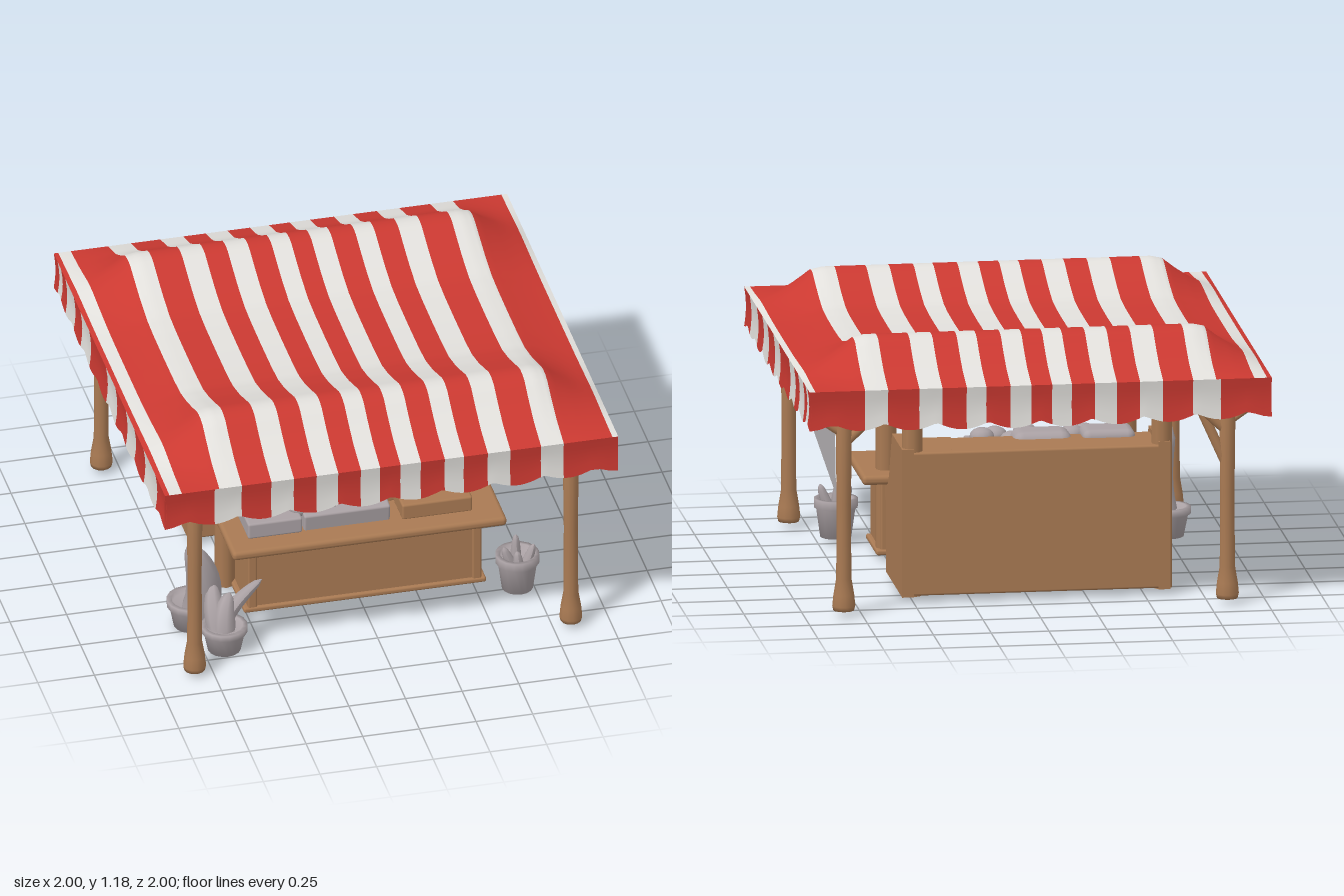
import * as THREE from 'three';
import { RoundedBoxGeometry } from 'three/addons/geometries/RoundedBoxGeometry.js';

const mat = (name, color, side = THREE.FrontSide) => {
  const m = new THREE.MeshStandardMaterial({ color, side });
  m.name = name;
  return m;
};

export function createModel() {
  const root = new THREE.Group();
  root.name = 'marketStall';
  const wood = mat('wood', 0xa97a53), red = mat('redCloth', 0xcb3931), white = mat('whiteCloth', 0xe2e0dc);
  const grey = mat('grey', 0xaaa1a4), lining = mat('liningGrey', 0x9d9b9d);
  const pale = mat('paleCloth', 0xc4c0c2, THREE.DoubleSide);

  const add = (name, geo, material, x = 0, y = 0, z = 0, parent = root) => {
    const m = new THREE.Mesh(geo, material);
    m.name = name;
    m.position.set(x, y, z);
    parent.add(m);
    return m;
  };
  // box given by its limits on each axis
  const box = (name, material, x0, x1, y0, y1, z0, z1, r = 0.01) =>
    add(name, new RoundedBoxGeometry(x1 - x0, y1 - y0, z1 - z0, 2, r), material,
      (x0 + x1) / 2, (y0 + y1) / 2, (z0 + z1) / 2);
  // straight round beam between two points
  const beam = (name, a, b, r = 0.02) => {
    const p = new THREE.Vector3(...a), q = new THREE.Vector3(...b), d = q.clone().sub(p);
    const m = add(name, new THREE.CylinderGeometry(r, r, d.length(), 10), wood);
    m.position.copy(p).add(q).multiplyScalar(0.5);
    m.quaternion.setFromUnitVectors(new THREE.Vector3(0, 1, 0), d.normalize());
  };
  const lathe = (pts, n = 16) => new THREE.LatheGeometry(pts.map(p => new THREE.Vector2(...p)), n);
  const lerpTable = (t, v) => {
    for (let i = 1; i < t.length; i++) {
      if (v <= t[i][0]) {
        const k = (v - t[i - 1][0]) / (t[i][0] - t[i - 1][0]);
        return t[i - 1][1] + k * (t[i][1] - t[i - 1][1]);
      }
    }
    return t[t.length - 1][1];
  };

  // ---- canopy: striped sheets, one material group per stripe ----
  const sheet = (edges, vs, f, flip = false) => {
    const sub = 6, us = [];
    for (let i = 0; i + 1 < edges.length; i++)
      for (let j = 0; j < sub; j++) us.push(edges[i] + (edges[i + 1] - edges[i]) * j / sub);
    us.push(edges[edges.length - 1]);
    const pos = [], idx = [], n = vs.length, g = new THREE.BufferGeometry();
    us.forEach(u => vs.forEach(v => pos.push(...f(u, v))));
    for (let i = 0; i + 1 < us.length; i++)
      for (let j = 0; j + 1 < n; j++) {
        const a = i * n + j, b = a + 1, c = a + n, d = c + 1;
        idx.push(...(flip ? [a, c, b, b, c, d] : [a, b, c, b, d, c]));
      }
    g.setAttribute('position', new THREE.Float32BufferAttribute(pos, 3));
    g.setIndex(idx);
    const per = sub * (n - 1) * 6;
    for (let i = 0; i + 1 < edges.length; i++) g.addGroup(i * per, per, i % 2);
    g.computeVertexNormals();
    return g;
  };
  const inner = [-0.66, -0.53, -0.43, -0.33, -0.235, -0.135, -0.05, 0.04,
    0.13, 0.235, 0.32, 0.425, 0.525, 0.66, 0.76];
  const roofStripes = [-1, -0.98, -0.925, -0.76, ...inner, 0.975, 1];
  const frontStripes = [-1, -0.78, ...inner, 1];
  const sideStripes = [-1, -0.83, -0.615, -0.45, -0.295, -0.11, 0.06, 0.36, 0.52, 0.64, 0.79, 0.87, 0.93, 1];
  const alongZ = [[0, 1.08], [0.18, 1.082], [0.3, 1.09], [0.42, 1.12], [0.52, 1.155], [0.6, 1.185],
    [0.65, 1.192], [0.7, 1.178], [0.78, 1.125], [0.87, 1.075], [1, 1.03]];
  const alongX = [[0, 1], [0.71, 1], [0.76, 0.93], [0.82, 0.63], [0.9, 0.3], [1, 0]];
  const roofY = (x, z) => 1.03 + (lerpTable(alongZ, Math.abs(z)) - 1.03) * lerpTable(alongX, Math.abs(x));
  const span = (a, b, n) => Array.from({ length: n + 1 }, (_, i) => a + (b - a) * i / n);
  const zs = span(-1, 1, 60);
  const under = drop => (x, z) => [x * 0.985, roofY(x, z) - drop, z * 0.985];
  const hem = u => 0.887 - 0.03 * Math.abs(Math.sin(u * 14)) - 0.012 * Math.cos(u * 1.6);
  const skirt = (u, t) => [u, 1.03 + (hem(u) - 1.03) * t, 1 - 0.008 * Math.sin(t * Math.PI)];
  const lined = (u, t) => { const p = skirt(u, t); return [p[0] * 0.985, p[1], p[2] - 0.015]; };
  add('canopyRoof', sheet(roofStripes, zs, (x, z) => [x, roofY(x, z), z]), [red, white]);
  add('canopyLining', sheet([-1, 1].flatMap(s => [s, s * 0.7, s * 0.85]).sort((a, b) => a - b), zs, under(0.012), true),
    [lining, lining]);
  add('liningPatch', sheet([-0.22, 0.02], span(0.56, 0.7, 4), under(0.018), true), red);
  add('liningPatch', sheet([-0.26, -0.06], span(-0.45, -0.36, 3), under(0.018), true), red);
  for (let k = 0; k < 4; k++) {
    const e = k % 2 ? sideStripes : frontStripes;
    // stripes run the same way along opposite sides
    const list = k >= 2 ? e.map(v => -v).reverse() : e;
    const turn = k * Math.PI / 2;
    add('canopySkirt', sheet(list, span(0, 1, 4), skirt), [red, white]).rotation.y = turn;
    add('skirtLining', sheet(list, span(0, 0.55, 2), lined, true), [lining, lining]).rotation.y = turn;
    add('skirtHem', sheet(list, span(0.55, 1, 2), lined, true), [red, white]).rotation.y = turn;
  }

  // ---- corner posts with braces and roof beams ----
  const postShape = lathe([[0, 0.03], [0.045, 0.03], [0.05, 0.05], [0.045, 0.1], [0.033, 0.17],
    [0.031, 0.5], [0.036, 0.9], [0, 0.9]], 12);
  for (const sx of [-1, 1]) for (const sz of [-1, 1]) {
    const x = sx * 0.83, z = sz * 0.84;
    add('cornerPost', postShape, wood, x, 0, z);
    beam('brace', [x, 0.76, z], [x - sx * 0.16, 0.91, z]);
    beam('brace', [x, 0.76, z], [x, 0.91, z - sz * 0.17]);
    beam('brace', [x, 0.8, z], [x + sx * 0.13, 0.89, z], 0.016);
  }
  beam('longBrace', [-0.82, 0.63, -0.84], [-0.7, 0.9, -0.82], 0.022);
  for (const s of [-1, 1]) {
    beam('sideBeam', [s * 0.83, 0.91, -0.9], [s * 0.83, 0.91, 0.9], 0.024);
    beam('crossBeam', [-0.9, 0.92, s * 0.84], [0.9, 0.92, s * 0.84], 0.024);
  }

  // ---- inner posts ----
  for (const [x, z] of [[-0.54, 0.2], [0.5, 0.2], [-0.58, -0.6], [0.5, -0.6]]) {
    beam('innerPost', [x, 0.03, z], [x, 0.95, z], 0.045);
    beam('innerBrace', [x, 0.78, z], [x, 0.93, z + (z > 0 ? -0.15 : 0.15)], 0.018);
  }
  for (const z of [0.2, -0.6]) beam('innerBeam', [-0.8, 0.93, z], [0.8, 0.93, z], 0.022);

  // ---- front counter ----
  box('counterBody', wood, -0.5, 0.53, 0.035, 0.37, 0.15, 0.45);
  box('counterBase', wood, -0.52, 0.55, 0.03, 0.055, 0.14, 0.465);
  box('counterTop', wood, -0.59, 0.62, 0.358, 0.4, 0.06, 0.555, 0.018);
  for (const x of [-0.48, 0.51]) box('counterBatten', wood, x - 0.02, x + 0.02, 0.04, 0.37, 0.43, 0.46, 0.008);
  for (const x of [-0.45, 0.48]) beam('counterBracket', [x, 0.24, 0.15], [x, 0.36, 0.08], 0.016);
  box('counterBox', wood, 0.18, 0.49, 0.395, 0.47, 0.25, 0.46);
  box('counterLedge', wood, -0.49, 0.2, 0.395, 0.455, 0.24, 0.3);
  box('goodsTray', grey, -0.5, -0.26, 0.4, 0.475, 0.27, 0.46);
  box('goodsTray', grey, -0.25, 0.13, 0.4, 0.485, 0.27, 0.45).rotation.x = 0.12;
  const ball = new THREE.SphereGeometry(0.045, 12, 8);
  for (let i = 0; i < 9; i++)
    add('goods', ball, grey, -0.45 + i * 0.065, 0.48 + (i % 3) * 0.01, 0.31 + (i % 2) * 0.06).scale.set(1.2, 0.9, 1.2);

  // ---- back cabinet: shaped side panels, back and shelves ----
  const prof = new THREE.Shape([[0.15, 0.03], [0.65, 0.03], [0.65, 0.68], [0.34, 0.68], [0.3, 0.6],
    [0.25, 0.48], [0.21, 0.43], [0.13, 0.4], [0.13, 0.355], [0.15, 0.34]].map(p => new THREE.Vector2(...p)));
  const panel = new THREE.ExtrudeGeometry(prof, { depth: 0.05, bevelEnabled: false });
  panel.rotateY(Math.PI / 2);
  add('cabinetSide', panel, wood, -0.61, 0, 0);
  add('cabinetSide', panel, wood, 0.5, 0, 0);
  box('cabinetBody', wood, -0.6, 0.54, 0.035, 0.4, -0.645, -0.16);
  box('cabinetLip', wood, -0.61, 0.55, 0.357, 0.4, -0.64, -0.13, 0.015);
  box('cabinetStep', wood, -0.57, 0.5, 0.39, 0.47, -0.64, -0.24);
  box('cabinetBack', wood, -0.6, 0.54, 0.035, 0.665, -0.65, -0.59);
  box('cabinetShelf', wood, -0.57, 0.5, 0.615, 0.66, -0.64, -0.36);
  box('sideHatch', grey, -0.614, -0.608, 0.1, 0.36, -0.46, -0.22, 0.002);
  box('sack', grey, -0.49, -0.26, 0.53, 0.692, -0.46, -0.29, 0.035);
  box('sack', grey, -0.22, 0.04, 0.52, 0.688, -0.45, -0.28, 0.05);
  box('sackBase', grey, -0.48, -0.25, 0.46, 0.55, -0.42, -0.27, 0.02);
  box('sackBase', grey, -0.25, 0.13, 0.46, 0.595, -0.42, -0.27, 0.02);

  // ---- hanging lanterns ----
  const lantern = lathe([[0, -0.08], [0.035, -0.078], [0.06, -0.045], [0.066, -0.01], [0.055, 0.035],
    [0.03, 0.07], [0.012, 0.085], [0.008, 0.16]]);
  for (const x of [-0.43, 0.425]) add('lantern', lantern, grey, x, 0.79, 0.42);

  // ---- potted plants ----
  const pot = (x, y, z, r, h) => add('pot', lathe([[0, 0], [r * 0.75, 0], [r * 0.95, h * 0.75], [r * 1.06, h * 0.77],
    [r * 1.06, h], [r * 0.85, h], [r * 0.8, h * 0.85], [0, h * 0.85]]), grey, x, y, z);
  // leaf following a bent path, thick at the root and closing to a tip
  const leaf = (a, b, c, r) => {
    const curve = new THREE.QuadraticBezierCurve3(...[a, b, c].map(p => new THREE.Vector3(...p)));
    const g = new THREE.TubeGeometry(curve, 10, 1, 8), p = g.attributes.position, v = new THREE.Vector3();
    for (let i = 0; i < p.count; i++) {
      const t = Math.floor(i / 9) / 10, o = curve.getPointAt(t);
      v.fromBufferAttribute(p, i).sub(o).multiplyScalar(r * (1 + 0.35 * t) * Math.sqrt(1 - t) + 0.002).add(o);
      p.setXYZ(i, v.x, v.y, v.z);
    }
    g.computeVertexNormals();
    add('leaf', g, grey);
  };
  pot(0.67, 0.03, 0.53, 0.09, 0.17);
  add('potBase', new THREE.CylinderGeometry(0.03, 0.03, 0.006, 12), red, 0.67, 0.029, 0.53);
  for (const [x, z, y] of [[-0.05, 0.02, 0.25], [0.0, -0.03, 0.275], [0.05, 0.03, 0.255], [-0.01, 0.05, 0.24]])
    leaf([0.67 + x * 0.6, 0.16, 0.53 + z], [0.67 + x, 0.2, 0.53 + z], [0.67 + x * 1.3, y, 0.53 + z], 0.022);
  pot(-0.66, 0.01, 0.68, 0.095, 0.12);
  pot(-0.75, 0.005, 0.45, 0.1, 0.13);
  leaf([-0.72, 0.08, 0.48], [-0.68, 0.28, 0.53], [-0.785, 0.465, 0.535], 0.085);
  leaf([-0.67, 0.1, 0.66], [-0.62, 0.2, 0.63], [-0.47, 0.27, 0.58], 0.035);
  leaf([-0.66, 0.1, 0.68], [-0.66, 0.2, 0.66], [-0.62, 0.25, 0.62], 0.05);
  leaf([-0.68, 0.1, 0.66], [-0.7, 0.2, 0.62], [-0.68, 0.27, 0.56], 0.05);

  // ---- loose cloth hanging by the rear left post ----
  const cloth = new THREE.BufferGeometry();
  cloth.setAttribute('position', new THREE.Float32BufferAttribute(
    [0.865, 0.54, -0.85, 0.985, 0.89, -0.87, 0.865, 0.89, -0.81], 3));
  cloth.computeVertexNormals();
  add('hangingCloth', cloth, pale);
  return root;
}
